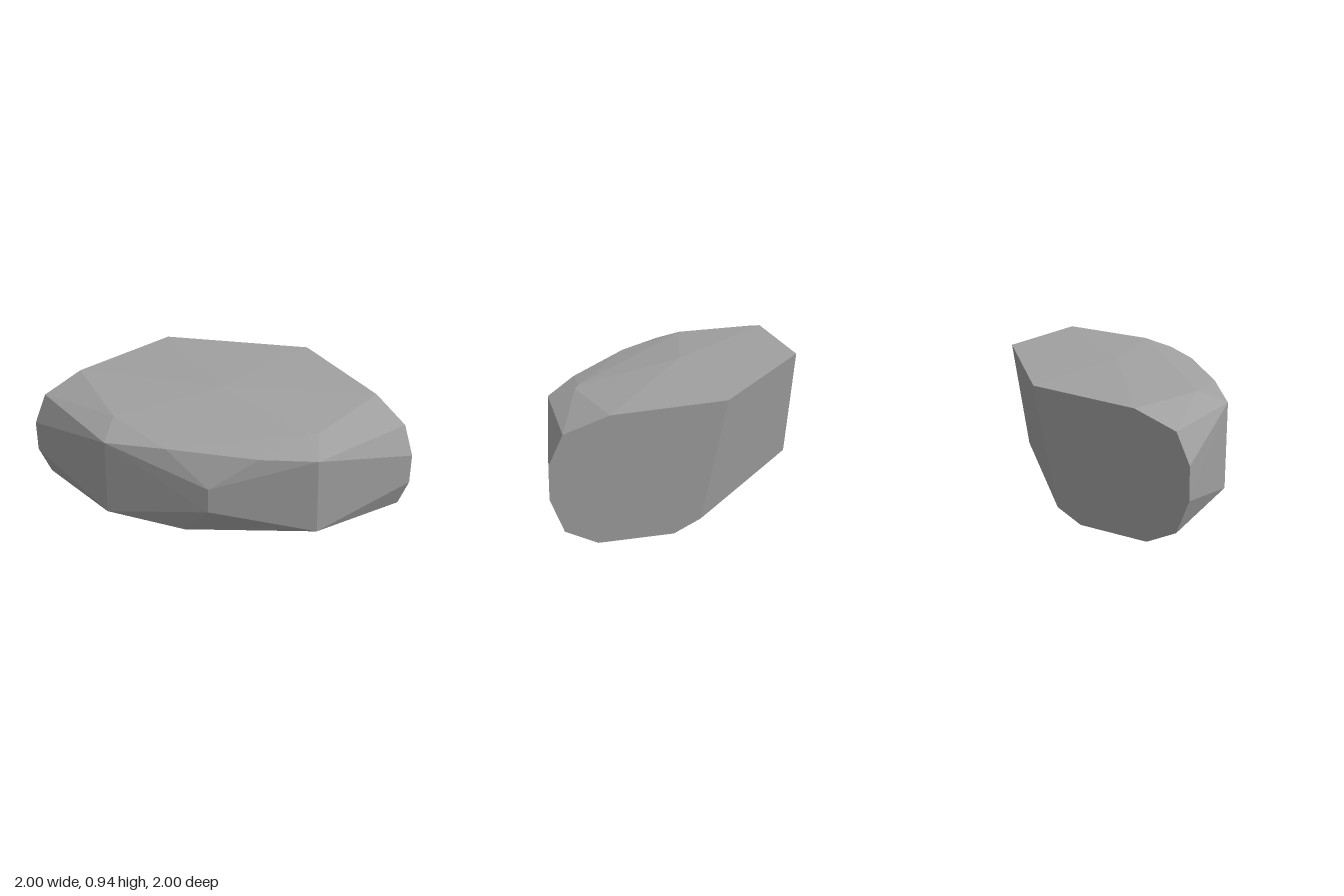
import * as THREE from 'three';
import { ConvexGeometry } from 'three/addons/geometries/ConvexGeometry.js';

// Faceted boulder, almost mirrored across the diagonal x = z.
export function createModel() {
  const group = new THREE.Group();
  group.name = 'rock';
  const stone = new THREE.MeshStandardMaterial({ color: 0xa0a0a0, flatShading: true });
  stone.name = 'stone grey';

  const points = [];
  const add = (x, y, z) => points.push(new THREE.Vector3(x, y, z));
  const addPair = (x, y, z) => { add(x, y, z); add(z, y, x); };

  // Cut end faces: outline as [along, height]
  const endOutline = [
    [-0.22, 0.94], [0.585, 0.915], [0.9, 0.813], [1, 0.6],
    [1, 0.36], [0.905, 0.115], [0.68, 0], [0.15, 0], [-0.04, 0.09],
  ];
  for (const [along, y] of endOutline) addPair(-1, y, along);

  // Side corners
  addPair(-0.22, 0.788, 0.86);
  addPair(-0.24, 0.163, 0.86);
  add(0.43, 0.57, 0.42);
  add(0.43, 0.37, 0.42);

  // Shoulder and crown
  add(0.13, 0.812, 0.57);
  add(0.61, 0.8, 0.11);
  addPair(-0.36, 0.88, 0.69);
  add(0.65, 0.88, -0.29);
  add(-0.13, 0.945, -0.11);

  // Underside
  add(0.23, 0.12, 0.49);
  addPair(-0.35, 0, 0.67);
  add(0.08, 0, 0.3);

  const rock = new THREE.Mesh(new ConvexGeometry(points), stone);
  rock.name = 'boulder';
  group.add(rock);
  return group;
}
